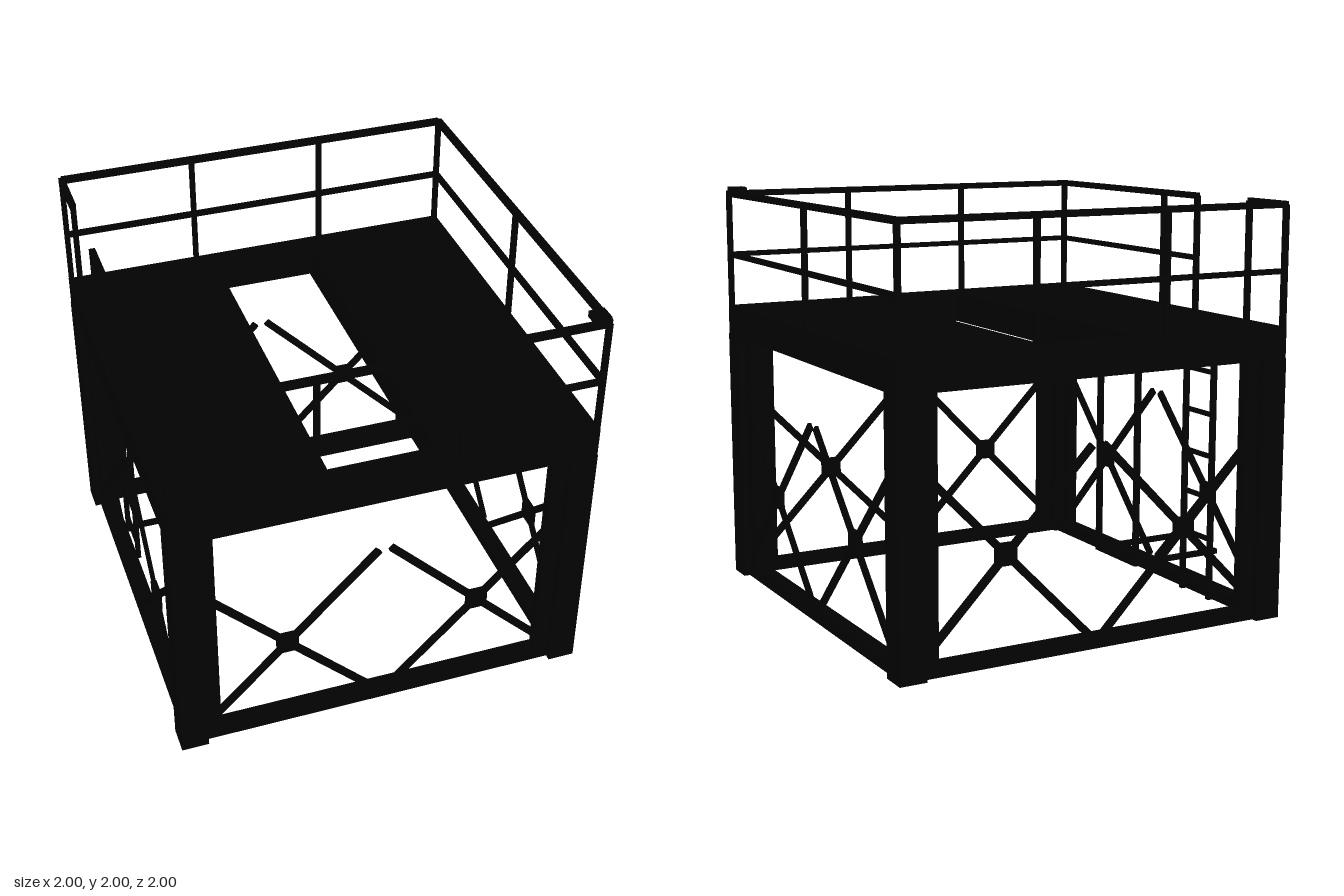
import * as THREE from 'three';

export function createModel() {
  const model = new THREE.Group();
  const black = new THREE.MeshStandardMaterial({ color: 0x020202 });
  black.name = 'black steel';

  const group = (name, parent = model) => {
    const g = new THREE.Group();
    g.name = name;
    parent.add(g);
    return g;
  };
  // box given by its lower and upper limits
  const box = (parent, name, x0, x1, y0, y1, z0, z1) => {
    const mesh = new THREE.Mesh(new THREE.BoxGeometry(x1 - x0, y1 - y0, z1 - z0), black);
    mesh.name = name;
    mesh.position.set((x0 + x1) / 2, (y0 + y1) / 2, (z0 + z1) / 2);
    parent.add(mesh);
  };
  // bar between two points, w across and t thick
  const bar = (parent, name, a, b, w = 0.024, t = w) => {
    const from = new THREE.Vector3(...a), to = new THREE.Vector3(...b);
    const mesh = new THREE.Mesh(new THREE.BoxGeometry(t, w, from.distanceTo(to)), black);
    mesh.name = name;
    mesh.position.copy(from).add(to).multiplyScalar(0.5);
    mesh.lookAt(to);
    parent.add(mesh);
  };
  // limits measured outwards from the middle, mirrored to either side
  const span = (s, a, b) => s > 0 ? [a, b] : [-b, -a];

  // corner columns: post with a fin along each side
  for (const sx of [-1, 1]) for (const sz of [-1, 1]) {
    const column = group('cornerColumn');
    const post = (name, x, z) => box(column, name, ...span(sx, ...x), 0, 1.255, ...span(sz, ...z));
    post('post', [0.87, 1], [0.87, 1]);
    post('sideFin', [0.797, 0.88], [0.915, 0.965]);
    post('sideFin', [0.915, 0.965], [0.797, 0.88]);
  }

  // four identical sides: ground beam and two crossed flat braces
  for (let i = 0; i < 4; i++) {
    const side = group('sideFrame');
    side.rotation.y = i * Math.PI / 2;
    box(side, 'groundBeam', -0.9, 0.9, 0, 0.055, 0.89, 0.97);
    for (const s of [-1, 1]) {
      bar(side, 'risingBrace', [s * 0.03, 0.06, 0.96], [s * 0.9, 0.94, 0.96], 0.034, 0.018);
      bar(side, 'fallingBrace', [s * 0.03, 0.94, 0.96], [s * 0.9, 0.06, 0.96], 0.034, 0.018);
      const [x0, x1] = span(s, 0.417, 0.517);
      box(side, 'bracePlate', x0, x1, 0.452, 0.552, 0.946, 0.974);
    }
  }

  // deck with a long opening and a deep rim
  const deck = group('deck');
  for (const s of [-1, 1]) {
    box(deck, 'endBeam', -0.998, 0.998, 1.25, 1.4, ...span(s, 0.88, 0.998));
    box(deck, 'sideBeam', ...span(s, 0.88, 0.998), 1.25, 1.4, -0.88, 0.88);
    box(deck, 'deckPanel', ...span(s, 0.25, 0.88), 1.36, 1.398, -0.88, 0.88);
    box(deck, 'openingBeam', ...span(s, 0.25, 0.31), 1.25, 1.36, -0.88, 0.88);
  }

  // guard rail with a gap above the ladder
  const guard = group('guardRail');
  const E = 0.985, TOP = 1.966, MID = 1.66;
  const post = (x, z) => bar(guard, 'railPost', [x, 1.39, z], [x, TOP, z]);
  const rail = (y, a, b) => bar(guard, 'rail', [a[0], y, a[1]], [b[0], y, b[1]], y === TOP ? 0.029 : 0.024);
  for (const z of [-E, E]) for (const x of [-E, -0.333, 0.333, E]) post(x, z);
  post(E, 0);
  for (const z of [0, -0.29, -0.71]) post(-E, z);
  for (const y of [MID, TOP]) {
    for (const z of [-E, E]) rail(y, [-E, z], [E, z]);
    rail(y, [E, -E], [E, E]);
    rail(y, [-E, -0.29], [-E, E]);
  }
  rail(TOP, [-E, -E], [-E, -0.71]);
  box(guard, 'cornerBox', 0.915, 0.99, 1.97, 2, 0.915, 0.99);

  // access ladder
  const ladder = group('ladder');
  const LX = -0.875;
  for (const z of [-0.385, -0.61]) bar(ladder, 'ladderRail', [LX, 0, z], [LX, 1.37, z]);
  for (let i = 0; i < 6; i++) {
    const y = 0.096 + i * 0.208;
    bar(ladder, 'rung', [LX, y, -0.61], [LX, y, -0.385], 0.02);
  }

  // hanging guard frame around the ladder
  const cage = group('ladderGuard');
  for (const z of [-0.335, -0.66]) {
    bar(cage, 'guardUpright', [-0.405, 0.25, z], [-0.405, 1.37, z]);
    bar(cage, 'guardArm', [LX, 0.262, z], [-0.393, 0.262, z]);
  }
  bar(cage, 'guardCrossbar', [-0.405, 0.262, -0.66], [-0.405, 0.262, -0.335]);

  return model;
}
